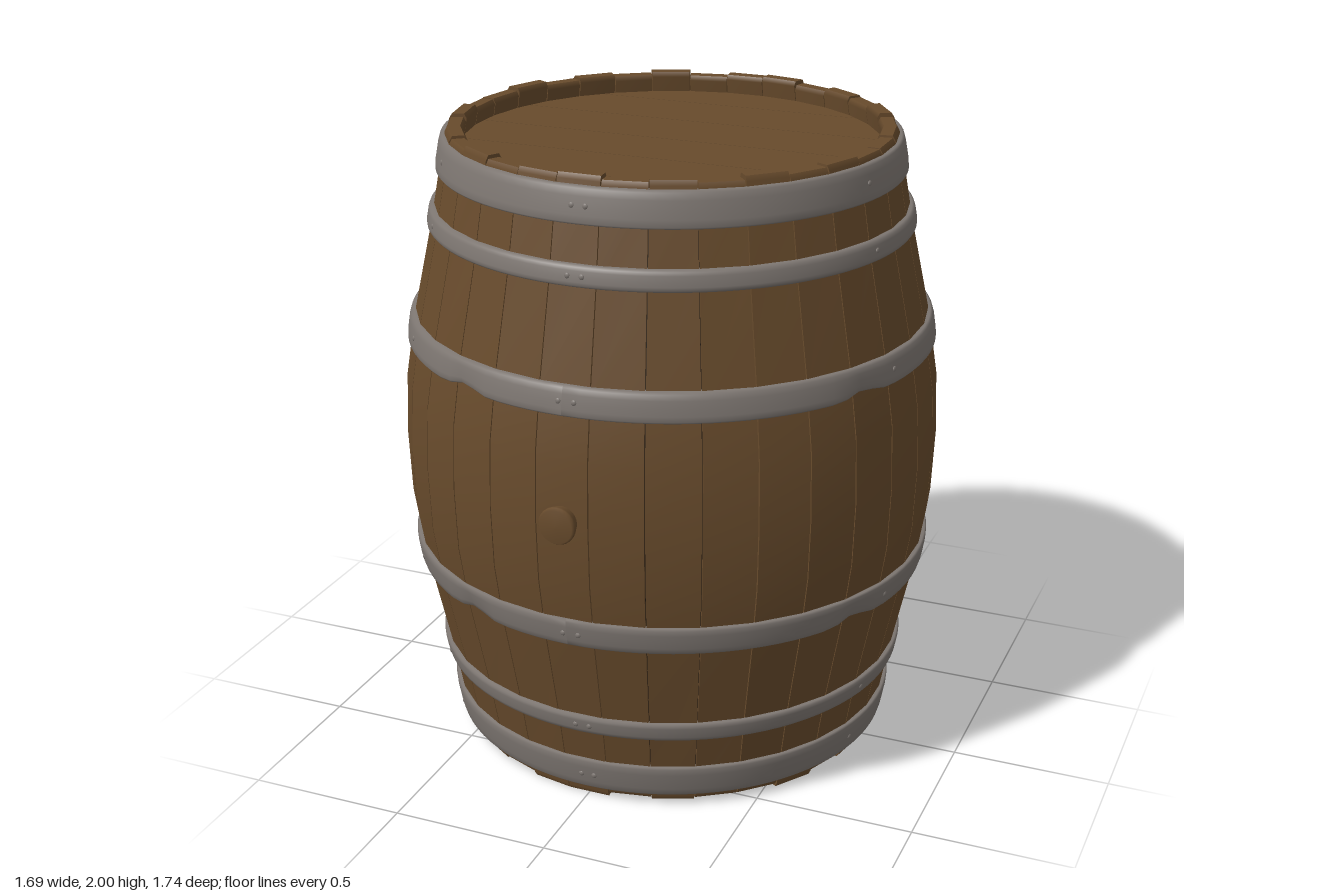
import * as THREE from 'three';

const wood = new THREE.MeshStandardMaterial({ color: 0x684b2c });
wood.name = 'oak brown';
const steel = new THREE.MeshStandardMaterial({ color: 0x7e7772 });
steel.name = 'hoop grey';
const dark = new THREE.MeshStandardMaterial({ color: 0x21180f });
dark.name = 'seam dark';

const STAVES = 32;
const STEP = (Math.PI * 2) / STAVES;
const V2 = (x, y) => new THREE.Vector2(x, y);

// Outer radius of the barrel, by height above or below the belly
const PROFILE = [[0, 0.85], [0.2, 0.842], [0.4, 0.81], [0.7, 0.745], [1.01, 0.688]];
function radiusAt(y) {
  const h = Math.min(Math.abs(y - 1), 1);
  let i = 0;
  while (h > PROFILE[i + 1][0]) i++;
  const [h0, r0] = PROFILE[i], [h1, r1] = PROFILE[i + 1];
  return r0 + ((r1 - r0) * (h - h0)) / (h1 - h0);
}

function add(parent, name, geometry, material) {
  const mesh = new THREE.Mesh(geometry, material);
  mesh.name = name;
  parent.add(mesh);
  return mesh;
}

// One plank of the wall: a four-cornered section swept from bottom to top
function staveGeometry(angle, bottom, top) {
  const half = STEP / 2 - 0.002;
  const heights = [bottom, bottom + 0.015, 0.3, 0.6, 0.8, 1, 1.2, 1.4, 1.7, top - 0.015, top];
  const rings = heights.map((y, i) => {
    const end = i === 0 || i === heights.length - 1;
    const r = radiusAt(y), outer = r - (end ? 0.006 : 0), inner = r - (end ? 0.044 : 0.055);
    return [[-half, outer], [half, outer], [half, inner], [-half, inner]]
      .map(([a, rad]) => [Math.sin(angle + a) * rad, y, Math.cos(angle + a) * rad]);
  });
  const pos = [], index = [];
  for (let side = 0; side < 4; side++) {
    const base = pos.length / 3;
    rings.forEach((ring) => pos.push(...ring[side], ...ring[(side + 1) % 4]));
    for (let i = 0; i < rings.length - 1; i++) {
      const k = base + i * 2;
      index.push(k, k + 1, k + 3, k, k + 3, k + 2);
    }
  }
  // End grain
  const b = pos.length / 3;
  pos.push(...rings[0].flat(), ...rings[rings.length - 1].flat());
  index.push(b, b + 2, b + 1, b, b + 3, b + 2, b + 4, b + 5, b + 6, b + 4, b + 6, b + 7);
  const g = new THREE.BufferGeometry();
  g.setAttribute('position', new THREE.Float32BufferAttribute(pos, 3));
  g.setIndex(index);
  g.computeVertexNormals();
  return g;
}

// Metal band following the wall, dented on its lower edge where asked
function hoopGeometry(y0, y1, dented) {
  const out = 0.013, b = 0.006;
  const at = (y, d) => V2(radiusAt(y) + d, y);
  const pts = [at(y0, -0.012), at(y0, out - b), at(y0 + b, out)];
  for (let i = 1; i < 4; i++) pts.push(at(y0 + ((y1 - y0) * i) / 4, out + 0.002));
  pts.push(at(y1 - b, out), at(y1, out - b), at(y1, -0.012));
  const g = new THREE.LatheGeometry(pts, 96);
  if (dented) {
    const p = g.attributes.position;
    for (let i = 0; i < p.count; i++) {
      const x = p.getX(i), y = p.getY(i), z = p.getZ(i);
      const a = Math.atan2(x, z);
      const quarter = Math.PI / 2;
      let d = (a + 0.44) / quarter;
      d = (d - Math.round(d)) * quarter;
      const low = 1 - (y - y0) / (y1 - y0);
      const w = Math.exp(-((d / 0.07) ** 2)) * low;
      const s = 1 - 0.012 * w;
      p.setXYZ(i, x * s, y + 0.016 * w, z * s);
    }
    g.computeVertexNormals();
  }
  return g;
}

// A strip of the round lid between two z lines, with curved ends
function lidPlank(R, z0, z1) {
  const pts = [], n = 10;
  for (let i = 0; i <= n; i++) {
    const z = z0 + ((z1 - z0) * i) / n;
    pts.push(V2(Math.sqrt(Math.max(0, R * R - z * z)), -z));
  }
  for (let i = n; i >= 0; i--) pts.push(V2(-pts[i].x, pts[i].y));
  const g = new THREE.ExtrudeGeometry(new THREE.Shape(pts), { depth: 0.03, bevelEnabled: false });
  return g.rotateX(-Math.PI / 2);
}

export function createModel() {
  const model = new THREE.Group();
  model.name = 'barrel';
  const body = new THREE.Group();
  body.name = 'barrelBody';
  body.position.z = -0.02;
  model.add(body);

  // Staves with slightly uneven ends
  for (let i = 0; i < STAVES; i++) {
    const bottom = [0, 0.012, 0.006, 0.014][(i * 7 + (i >> 2)) % 4];
    const top = 2 - [0, 0.01, 0.004, 0.012][(i * 5 + (i >> 3)) % 4];
    add(body, 'stave', staveGeometry(i * STEP, bottom, top), wood);
  }

  // Dark liner showing through the seams
  const liner = [0.06, 0.3, 0.6, 0.8, 1, 1.2, 1.4, 1.7, 1.94].map((y) => V2(radiusAt(y) - 0.014, y));
  add(body, 'seamLiner', new THREE.LatheGeometry(liner, STAVES, STEP / 2), dark);

  // Planked heads, recessed at both ends
  const R = 0.665, cuts = [-R, -0.47, -0.235, 0, 0.23, 0.46, R];
  for (const [name, y, backing] of [['topHead', 1.905, 1.915], ['bottomHead', 0.065, 0.085]]) {
    const head = new THREE.Group();
    head.name = name;
    for (let i = 0; i < cuts.length - 1; i++) {
      const plank = add(head, 'headPlank', lidPlank(R, cuts[i] + 0.0015, cuts[i + 1] - 0.0015), wood);
      plank.position.y = y;
    }
    const disc = add(head, 'headBacking', new THREE.CylinderGeometry(R - 0.02, R - 0.02, 0.008, 48), dark);
    disc.position.y = backing;
    body.add(head);
  }

  // Hoops, mirrored about the belly, with rivets
  const bands = [[1.865, 1.972, false], [1.692, 1.755, false], [1.328, 1.418, true]];
  const rivet = new THREE.SphereGeometry(0.009, 8, 6);
  for (const [lo, hi, dented] of bands) {
    for (const [y0, y1] of [[lo, hi], [2.006 - hi, 2.006 - lo]]) {
      add(body, 'hoop', hoopGeometry(y0, y1, dented), steel);
      const y = (y0 + y1) / 2, r = radiusAt(y) + 0.014;
      for (const a of [-0.014, 0.045, 1.3, 2.42, 3.2, 4.4, 5.4]) {
        const m = add(body, 'rivet', rivet, steel);
        m.position.set(Math.sin(a) * r, y, Math.cos(a) * r);
        m.rotation.y = a;
        m.scale.z = 0.5;
      }
    }
  }

  // Bung in the front of the belly
  const bungProfile = [V2(0.046, 0), V2(0.05, 0.03), V2(0.058, 0.052), V2(0.058, 0.06), V2(0.052, 0.069), V2(0, 0.07)];
  const bung = add(model, 'bung', new THREE.LatheGeometry(bungProfile, 24).rotateX(Math.PI / 2), wood);
  bung.position.set(0, 1.005, 0.8);
  return model;
}
